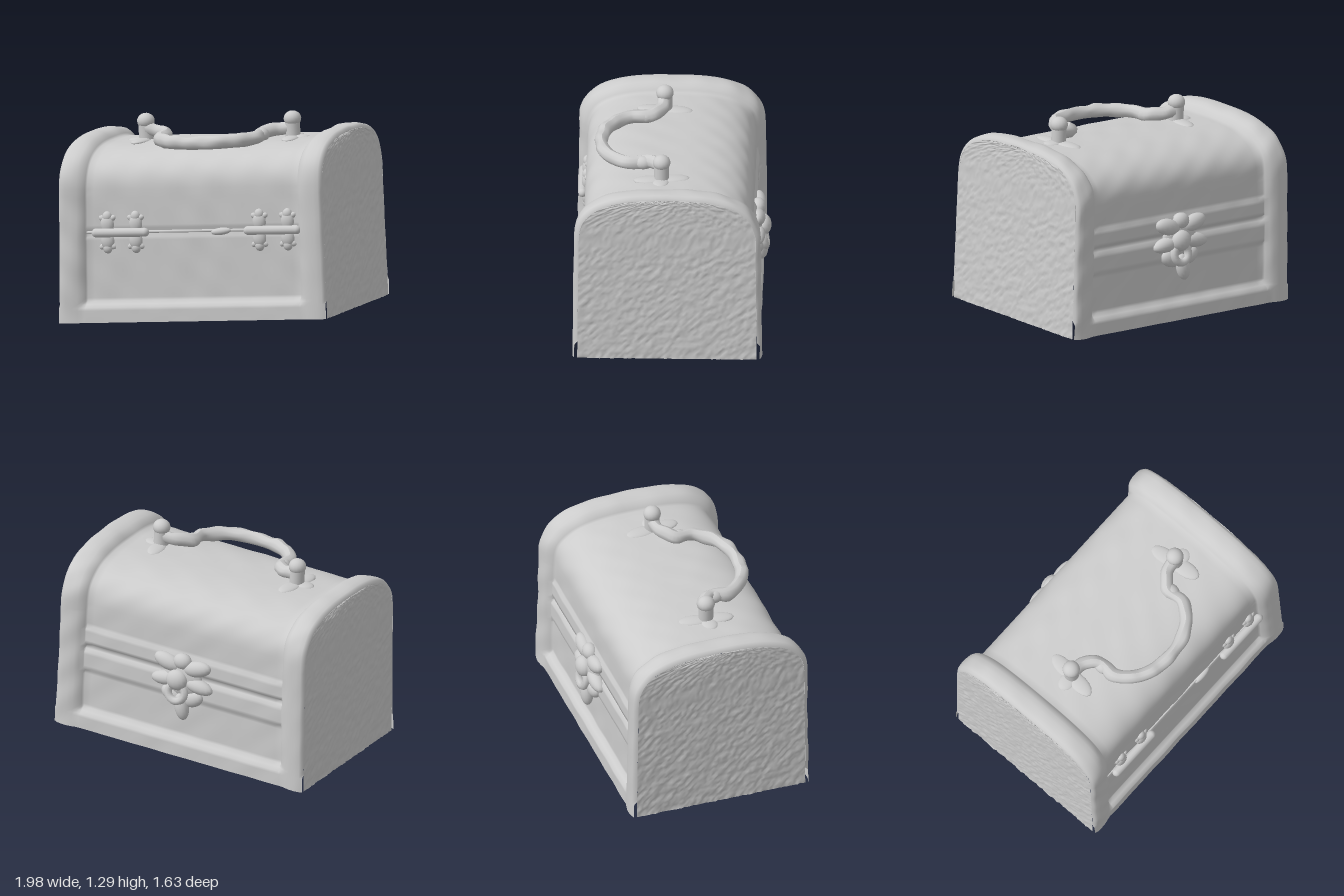
import * as THREE from 'three';
import { RoundedBoxGeometry } from 'three/addons/geometries/RoundedBoxGeometry.js';

const LENGTH = 0.853, HALF_DEPTH = 0.568, HEIGHT = 1.095, SPRING = 0.765;
const BODY_INSET = 0.055, LEAN = 0.037, SEAM = 0.54;
const mat = new THREE.MeshStandardMaterial({ color: 0xcccccc, side: THREE.DoubleSide, roughness: 0.9 });

// Repeatable grain and soft hand-made lumps
const grain = (a, b) => { const s = Math.sin(a * 127.1 + b * 311.7) * 43758.5453; return s - Math.floor(s) - 0.5; };
const lump = (x, y, z) => Math.sin(x * 23 + y * 9) * Math.sin(y * 19 + z * 7) * Math.sin(z * 21 + x * 5);
const taper = y => 1 - 0.02 * y;

// Arched outline [z, y]; t runs from the front foot over the lid to the back foot
function outline(t, inset) {
  const w = HALF_DEPTH - inset, top = HEIGHT - inset;
  if (t < 0.3) return [w, SPRING * t / 0.3];
  if (t > 0.7) return [-w, SPRING * (1 - t) / 0.3];
  const a = Math.PI * (t - 0.3) / 0.4, c = Math.cos(a), s = Math.max(0, Math.sin(a)), e = 2 / 2.8;
  return [w * Math.sign(c) * Math.abs(c) ** e, SPRING + (top - SPRING) * s ** e];
}

// Inset of the walls between the ribs: foot rail, back strips and seam groove
function wallInset(y, back) {
  if (y < 0.14) return 0.012 + (BODY_INSET - 0.012) * THREE.MathUtils.smoothstep(y, 0.09, 0.13);
  if (back && ((y > 0.37 && y < 0.5) || (y > 0.54 && y < 0.64))) return 0.04;
  return Math.abs(y - SEAM) < 0.012 ? BODY_INSET + 0.01 : BODY_INSET;
}

// Surface from a rule fn(i, j) -> [x, y, z]
function grid(nu, nv, fn) {
  const pos = [], idx = [];
  for (let j = 0; j <= nv; j++) for (let i = 0; i <= nu; i++) pos.push(...fn(i, j));
  for (let j = 0; j < nv; j++) for (let i = 0; i < nu; i++) {
    const a = j * (nu + 1) + i, d = a + nu + 1;
    idx.push(a, a + 1, d + 1, a, d + 1, d);
  }
  const g = new THREE.BufferGeometry();
  g.setAttribute('position', new THREE.Float32BufferAttribute(pos, 3));
  g.setIndex(idx);
  g.computeVertexNormals();
  return g;
}

export function createModel() {
  const model = new THREE.Group();
  const chest = new THREE.Group();
  chest.name = 'chest';
  model.add(chest);

  // Every part follows the slight lean of the chest
  const add = (name, geo, x = 0, y = 0, z = 0) => {
    const m = new THREE.Mesh(geo, mat);
    m.name = name;
    m.position.set(x + LEAN * y, y, z);
    chest.add(m);
    return m;
  };
  const blob = (name, x, y, z, rx, ry, rz, tilt = 0) => {
    const m = add(name, new THREE.SphereGeometry(1, 16, 12), x, y, z);
    m.scale.set(rx, ry, rz);
    m.rotation.z = tilt;
    return m;
  };

  // Open-bottomed shell with a rounded rib at each end: [x, inset]
  const rib = [[LENGTH, 0.03], [0.848, 0.014], [0.833, 0.004], [0.805, 0], [0.77, 0], [0.735, 0.006],
    [0.71, 0.02], [0.69, 0.04], [0.682, BODY_INSET]];
  const rows = rib.map(([x, o]) => [-x, o]);
  for (let i = 1; i < 30; i++) rows.push([-0.682 + 1.364 * i / 30, BODY_INSET]);
  rows.push(...rib.slice().reverse());
  add('shell', grid(rows.length - 1, 140, (i, j) => {
    const [x, o] = rows[i], t = j / 140;
    const wall = wallInset(outline(t, o)[1], t > 0.5);
    const [z, y] = outline(t, o === BODY_INSET ? wall : Math.min(o, wall));
    const d = (Math.abs(x) > 0.7 ? 0.005 : 0.003) * lump(x, y, z);
    return [x * taper(y) + LEAN * y, y + (y > SPRING ? d : 0), z * taper(y) + Math.sign(z) * d];
  }));

  // Rough flat ends
  for (const side of [-1, 1]) {
    const n = 64, rowsUp = 76;
    add(side > 0 ? 'leftEnd' : 'rightEnd', grid(n, rowsUp, (i, j) => {
      const [w, y] = outline(0.5 * j / rowsUp, 0.03);
      const z = -side * w * (2 * i / n - 1), inner = i > 0 && i < n && j < rowsUp;
      const rough = inner ? 0.009 * grain(i + side * 7, j) : 0;
      return [side * LENGTH * taper(y) + LEAN * y + rough, y, z * taper(y)];
    }));
  }

  // Front seam ridge with a small bump
  add('seamRidge', new RoundedBoxGeometry(1.37, 0.016, 0.02, 2, 0.007), 0, SEAM, 0.502);
  blob('seamBump', 0.18, SEAM - 0.005, 0.51, 0.065, 0.022, 0.022, 0.1);

  // Hinges: barrel and two pairs of leaf lobes each
  for (const s of [-1, 1]) {
    const hingeX = 0.03 + s * 0.485;
    const barrel = add('hingeBarrel', new THREE.CapsuleGeometry(0.027, 0.31, 6, 12), hingeX, SEAM, 0.53);
    barrel.rotation.z = Math.PI / 2;
    for (const dx of [-0.09, 0.09]) for (const v of [-1, 1]) {
      const x = hingeX + dx;
      blob('hingeLeaf', x, SEAM + v * 0.05, 0.508, 0.042, 0.055, 0.028);
      blob('hingeTip', x, SEAM + v * 0.095, 0.506, 0.03, 0.033, 0.026);
      for (const p of [-1, 1])
        blob('hingeSidePetal', x + p * 0.032, SEAM + v * 0.085, 0.503, 0.024, 0.018, 0.017, p * v * 0.5);
    }
  }

  // Ornate clasp on the back
  for (const s of [-1, 1]) {
    blob('claspUpperLobe', s * 0.1, 0.59, -0.53, 0.095, 0.05, 0.045, s * 0.25);
    blob('claspMiddleLobe', s * 0.11, 0.48, -0.53, 0.1, 0.045, 0.045, -s * 0.15);
    blob('claspLowerLobe', s * 0.07, 0.385, -0.525, 0.075, 0.05, 0.04, s * 0.4);
  }
  blob('claspCrown', 0, 0.615, -0.53, 0.06, 0.05, 0.045);
  blob('claspPlate', 0, 0.5, -0.52, 0.13, 0.12, 0.045);
  blob('claspBoss', 0.02, 0.5, -0.56, 0.07, 0.065, 0.05);
  const ring = add('claspRing', new THREE.TorusGeometry(0.055, 0.025, 8, 20), 0.02, 0.42, -0.565);
  ring.rotation.x = 0.2;
  blob('claspTongue', -0.01, 0.33, -0.55, 0.045, 0.085, 0.04, -0.25);

  // Carrying handle lying towards the front
  const handleY = 1.06, handleX = 0.015;
  const half = [[0.465, 0.04, 0.04], [0.37, 0.028, 0.06], [0.305, 0.015, 0.125], [0.307, 0.005, 0.24],
    [0.215, 0, 0.35], [0.085, -0.002, 0.403]];
  const path = [...half.map(([x, y, z]) => [-x, y, z]), ...half.slice().reverse()].map(p => new THREE.Vector3(...p));
  const handle = new THREE.TubeGeometry(new THREE.CatmullRomCurve3(path), 90, 0.04, 10);
  const hp = handle.attributes.position;
  for (let i = 0; i < hp.count; i++) {
    const x = hp.getX(i), y = hp.getY(i), z = hp.getZ(i), d = 0.007 * lump(x * 1.4, y, z * 1.4);
    hp.setXYZ(i, x + d, y + d, z + d);
  }
  handle.computeVertexNormals();
  add('handle', handle, handleX, handleY);

  // Handle posts, scrolls and low leaf plates
  for (const s of [-1, 1]) {
    const postX = handleX + s * 0.468;
    add('handlePost', new THREE.CapsuleGeometry(0.045, 0.1, 8, 16), postX, 1.095, 0.04);
    blob('handleKnob', postX, 1.15, 0.04, 0.053, 0.048, 0.053);
    blob('handleScroll', handleX + s * 0.31, 1.068, 0.15, 0.045, 0.042, 0.055);
    // Leaves run forward, back and outward: [direction, reach]
    for (const [a, reach] of [[1.45, 0.1], [-1.7, 0.1], [0.1, 0.065]]) {
      const leaf = blob('plateLeaf', postX + s * 0.7 * reach * Math.cos(a), 1.035, 0.04 + 0.7 * reach * Math.sin(a), reach, 0.018, 0.05);
      leaf.rotation.y = -s * a;
    }
  }

  // The chest stands turned and slightly tilted
  chest.rotation.set(0, THREE.MathUtils.degToRad(20), 0.065, 'YZX');
  chest.position.set(0.005, 0.06, 0);
  return model;
}
